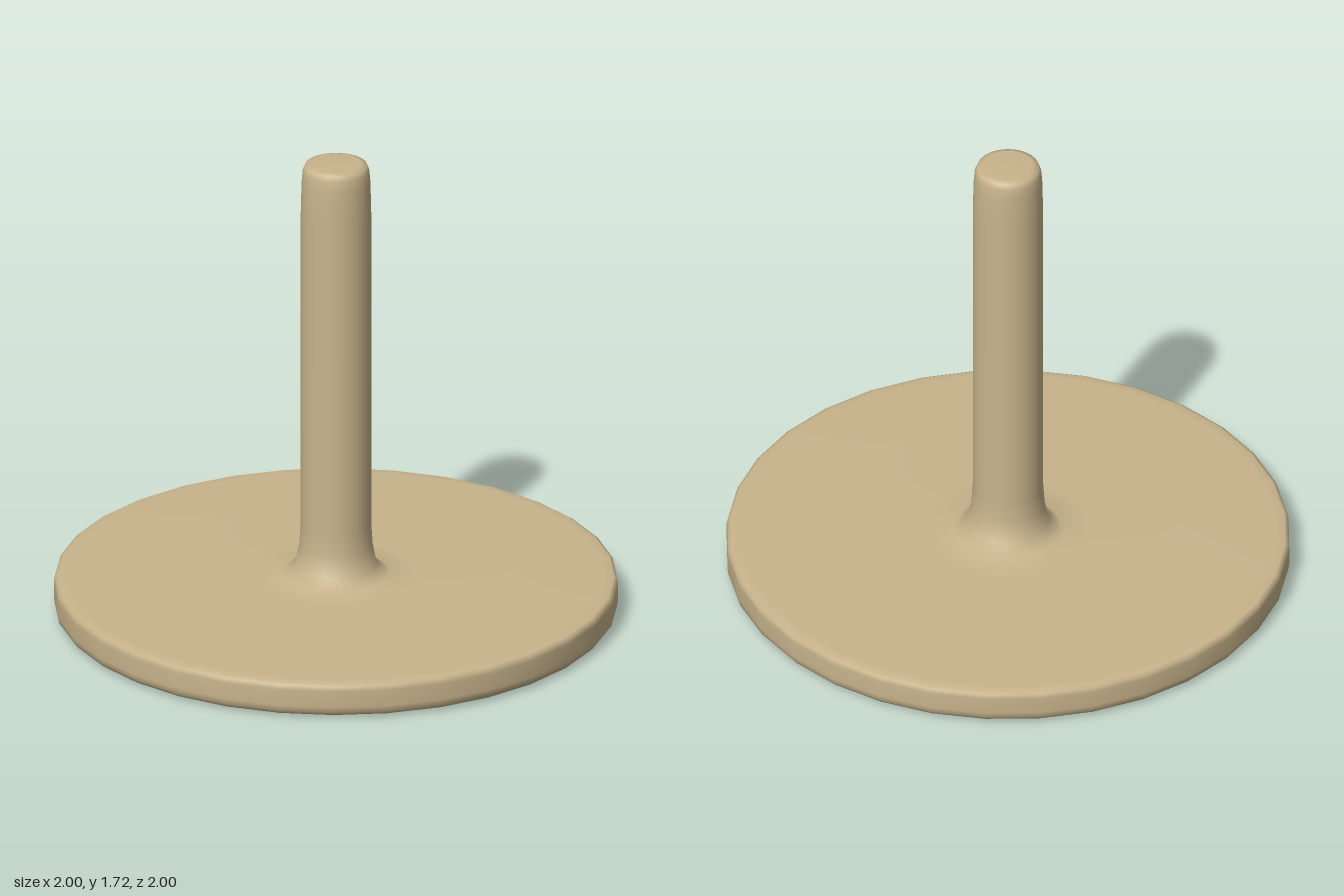
import * as THREE from 'three';

export function createModel() {
  const group = new THREE.Group();
  group.name = 'roundStand';
  const material = new THREE.MeshStandardMaterial({ color: 0xc8b48c });

  // One continuous turned profile, from the underside up to the post tip
  const profile = [
    // underside and rounded rim of the base
    [0, 0.005], [0.84, 0.005], [0.96, 0.01], [0.985, 0.015], [0.997, 0.03],
    [1, 0.05], [1, 0.11], [0.997, 0.128], [0.985, 0.135], [0.95, 0.138],
    // top of the base, flared into the post
    [0.62, 0.142], [0.3, 0.144], [0.19, 0.15], [0.145, 0.185], [0.13, 0.26],
    [0.125, 0.34],
    // post with a softened tip
    [0.125, 1.53], [0.122, 1.65], [0.118, 1.695], [0.11, 1.715], [0.09, 1.722],
    [0, 1.722],
  ].map(([r, y]) => new THREE.Vector2(r, y - 0.005));

  const body = new THREE.Mesh(new THREE.LatheGeometry(profile, 32), material);
  body.name = 'baseAndPost';
  group.add(body);
  return group;
}
